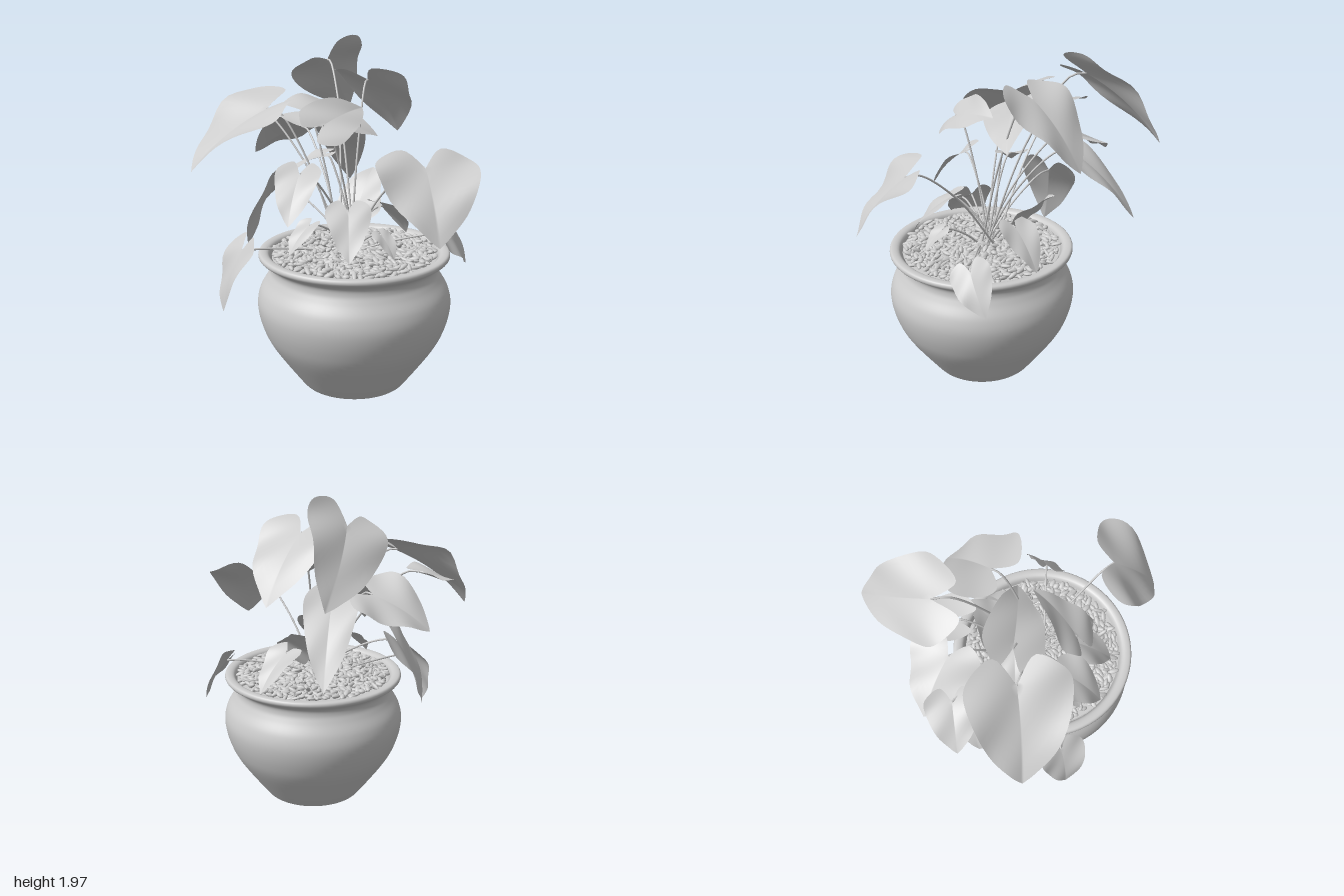
import * as THREE from 'three';
import { mergeGeometries, mergeVertices } from 'three/addons/utils/BufferGeometryUtils.js';

const V = (x, y, z) => new THREE.Vector3(x, y, z);
const spline = (points, n) => new THREE.SplineCurve(points.map(p => new THREE.Vector2(...p))).getPoints(n);
const centre = V(0.108, 0, 0.215); // pot axis
const crown = V(0.06, 0.77, 0.19); // where the stalks rise

let seed = 7;
const rnd = () => (seed = (seed * 16807) % 2147483647) / 2147483647;

// Half outline of a heart leaf as (along, across), from notch to tip
const half = spline([[-0.02, 0.01], [-0.27, 0.2], [-0.1, 0.47], [0.15, 0.5], [0.6, 0.33], [0.88, 0.12], [1, 0]], 30);
const outline = [...half, ...half.slice(0, -1).reverse().map(p => new THREE.Vector2(p.x, -p.y))];

// Heart leaf: rings of the outline shrinking to the stalk, folded at the midrib, bowed and waved
function leafGeometry(base, tip, broad, twist, fold, phase) {
  const along = tip.clone().sub(base), length = along.length(), width = length * broad;
  along.normalize();
  const across = V(0, 1, 0).cross(along).normalize().applyAxisAngle(along, twist);
  const up = along.clone().cross(across);
  const rings = 9, n = outline.length, pos = [], idx = [];
  for (let i = 0; i <= rings; i++) {
    for (const o of outline) {
      const a = o.x * i / rings, c = o.y * i / rings, edge = Math.abs(c);
      const lift = length * 0.25 * a * (1 - a)
        + width * edge * (fold - 0.1 * edge + 0.1 * Math.sin(7 * a + 5 * c + phase));
      const p = base.clone().addScaledVector(along, a * length)
        .addScaledVector(across, c * width).addScaledVector(up, lift);
      pos.push(p.x, p.y, p.z);
    }
  }
  for (let i = 0; i < rings; i++) for (let j = 0; j < n - 1; j++) {
    const a = i * n + j, b = a + n;
    if (i) idx.push(a, b, a + 1);
    idx.push(a + 1, b, b + 1);
  }
  const geometry = new THREE.BufferGeometry();
  geometry.setAttribute('position', new THREE.Float32BufferAttribute(pos, 3));
  geometry.setIndex(idx);
  const welded = mergeVertices(geometry, 1e-5);
  welded.computeVertexNormals();
  return welded;
}

// A leaf with only a length droops straight out from the crown
const droopingTip = (base, length) => {
  const out = base.clone().sub(crown).setY(0).normalize();
  return base.clone().addScaledVector(out.setY(-1), length * Math.SQRT1_2);
};

// broad: width over length, twist: roll about the midrib, fold: lift of the two halves
const leaves = [
  { name: 'backTopLeaf', base: V(-0.19, 1.82, -0.32), tip: V(-0.16, 1.47, -0.77), broad: 0.82, twist: -0.7 },
  { name: 'largeRightLeaf', base: V(-0.4, 1.59, 0.22), tip: V(-0.8, 1.24, 0.4), broad: 1.02, twist: -0.22, fold: 0.26 },
  { name: 'largeLeftLeaf', base: V(0.55, 1.35, 0.47), tip: V(0.67, 1, 0.73), broad: 1.2 },
  { name: 'topLeaf', base: V(0.11, 1.73, -0.11), tip: V(0.23, 1.38, -0.43), broad: 0.95 },
  { name: 'middleLeaf', base: V(-0.21, 1.57, 0.13), tip: V(0.2, 1.42, 0.01), twist: 0.35 },
  { name: 'frontTopLeaf', base: V(-0.02, 1.54, 0.42), tip: V(0.13, 1.6, 0.12), broad: 0.9, twist: 0.6 },
  { name: 'rightBackLeaf', base: V(-0.32, 1.42, -0.2), tip: V(-0.64, 1.24, -0.23), broad: 1.2, twist: 0.35 },
  { name: 'farRightLeaf', base: V(-0.58, 1.53, -0.07), tip: V(-0.8, 1.41, 0.04), broad: 1.05 },
  { name: 'rightSideLeaf', base: V(-0.44, 1.1, -0.02), tip: V(-0.59, 0.69, 0.06), twist: 0.45 },
  { name: 'lowRightLeaf', base: V(-0.46, 0.84, 0.53), tip: V(-0.55, 0.5, 0.61) },
  { name: 'frontLeaf', base: V(-0.15, 1.27, 0.43), tip: V(-0.15, 1.03, 0.65) },
  { name: 'lowLeftLeaf', base: V(0.62, 0.88, 0.06), tip: V(0.72, 0.67, -0.07), broad: 0.95, twist: 0.85 },
  { name: 'upturnedBackLeaf', base: V(0.07, 0.98, -0.05), tip: V(0.12, 1.18, -0.25), broad: 1 },
  { name: 'innerLeaf', base: V(-0.1, 1.32, 0.1), tip: V(-0.3, 1.2, 0.18) },
  { name: 'backLeaf', base: V(-0.1, 1.38, -0.27), tip: V(-0.13, 1, -0.655), broad: 0.55 },
  { name: 'lowFrontLeaf', base: V(0.12, 1.07, 0.41), length: 0.32 },
  { name: 'smallLeftLeaf', base: V(0.3, 0.94, 0.38), length: 0.16 },
  { name: 'smallBackLeaf', base: V(0.22, 0.99, -0.05), length: 0.29 },
  { name: 'smallFrontLeaf', base: V(-0.1, 0.98, 0.43), length: 0.2 },
];

export function createModel() {
  const model = new THREE.Group();
  const grey = new THREE.MeshStandardMaterial({ color: 0xcccccc });
  const thin = new THREE.MeshStandardMaterial({ color: 0xcccccc, side: THREE.DoubleSide });
  const add = (parent, name, geometry, material) => {
    const mesh = new THREE.Mesh(geometry, material);
    mesh.name = name;
    parent.add(mesh);
    return mesh;
  };

  // Bellied pot with a flared, rounded rim
  const wall = spline([
    [0.3, 0], [0.325, 0.025], [0.475, 0.235], [0.535, 0.36], [0.56, 0.48], [0.545, 0.57], [0.503, 0.645],
    [0.484, 0.69], [0.492, 0.73], [0.547, 0.768], [0.54, 0.797], [0.49, 0.785], [0.47, 0.7],
  ], 70);
  add(model, 'pot', new THREE.LatheGeometry(wall, 72), thin).position.copy(centre);

  // Recessed underside
  const foot = [[0, 0.015], [0.26, 0.015], [0.275, 0], [0.3, 0]].map(p => new THREE.Vector2(...p));
  add(model, 'potBase', new THREE.LatheGeometry(foot, 72), thin).position.copy(centre);

  // Soil under a spread of long pebbles
  const soil = new THREE.CircleGeometry(0.475, 48).rotateX(-Math.PI / 2).translate(0, 0.765, 0);
  add(model, 'soil', soil, grey).position.copy(centre);
  const ball = new THREE.IcosahedronGeometry(1, 1);
  ball.deleteAttribute('uv');
  ball.deleteAttribute('normal');
  const stone = mergeVertices(ball);
  stone.computeVertexNormals();
  const pebbles = [], count = 850;
  for (let i = 0; i < count; i++) {
    const r = 0.46 * Math.sqrt((i + 0.5) / count), t = i * 2.4 + rnd() * 0.08;
    const tilt = new THREE.Euler((rnd() - 0.5) * 0.8, rnd() * Math.PI, (rnd() - 0.5) * 0.8);
    pebbles.push(stone.clone().applyMatrix4(new THREE.Matrix4().compose(
      V(r * Math.cos(t), 0.775 + rnd() * 0.02, r * Math.sin(t)),
      new THREE.Quaternion().setFromEuler(tilt),
      V(0.022 + rnd() * 0.018, 0.009 + rnd() * 0.005, 0.011 + rnd() * 0.007))));
  }
  add(model, 'pebbles', mergeGeometries(pebbles), grey).position.copy(centre);

  // Each leaf on an arching stalk from the crown
  leaves.forEach(({ name, base, length, tip = droopingTip(base, length), broad = 0.77, twist = 0, fold = 0.14 }, i) => {
    const leaf = new THREE.Group();
    leaf.name = name;
    model.add(leaf);
    add(leaf, 'blade', leafGeometry(base, tip, broad, twist, fold, i * 1.7), thin);
    const root = V(Math.cos(i * 2.4), 0, Math.sin(i * 2.4)).multiplyScalar(0.045).add(crown);
    const along = (out, rise) => root.clone().lerp(base, out).setY(root.y + (base.y - root.y) * rise);
    const path = new THREE.CatmullRomCurve3([root, along(0.42, 0.62), along(0.85, 0.99), base]);
    add(leaf, 'stalk', new THREE.TubeGeometry(path, 24, 0.006, 8), grey);
  });

  return model;
}
